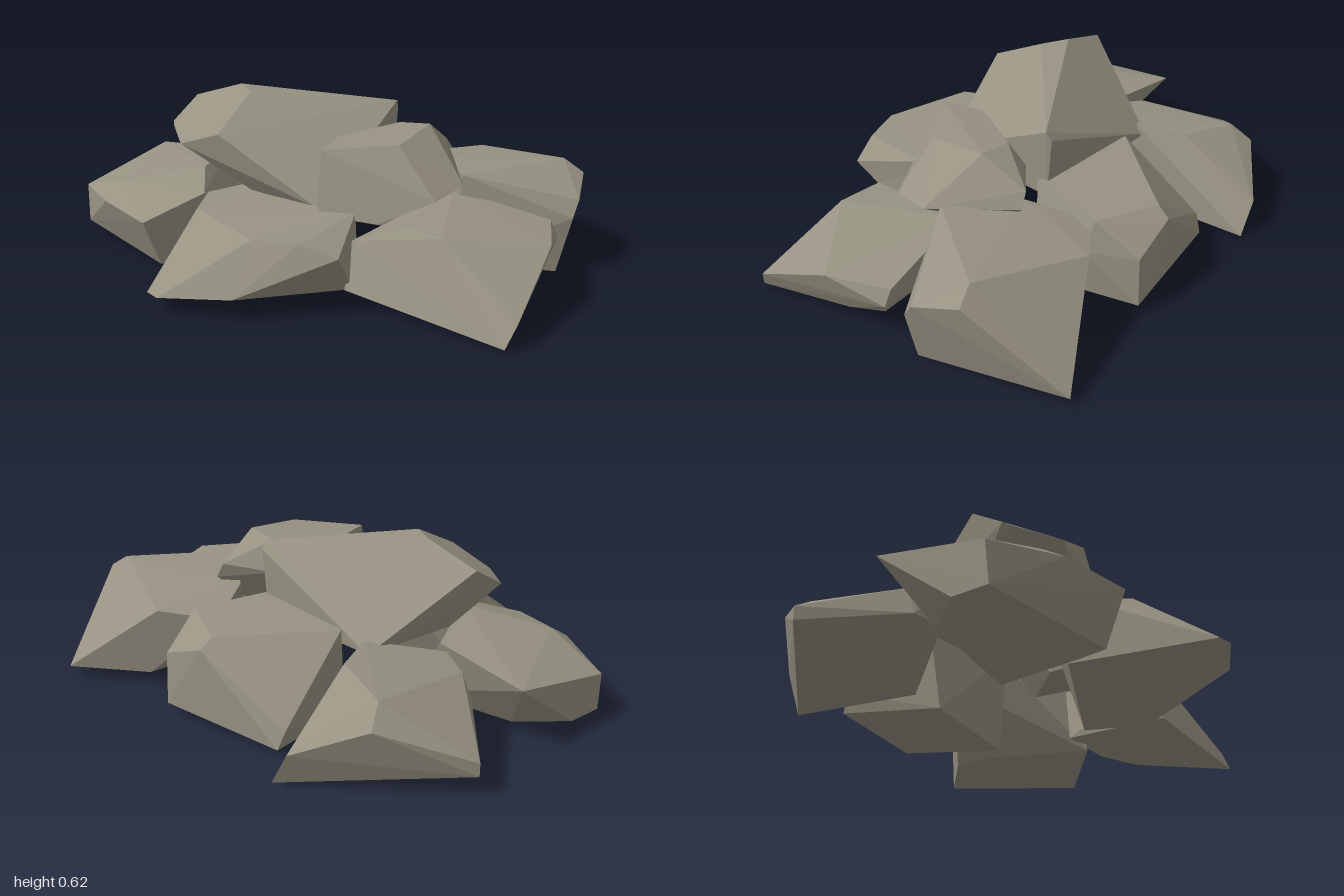
import * as THREE from 'three';
import { ConvexGeometry } from 'three/addons/geometries/ConvexGeometry.js';

const stone = new THREE.MeshStandardMaterial({ color: 0x979282, flatShading: true });
stone.name = 'stone';

// A faceted boulder is the convex hull of its corner points.
function boulder(name, corners) {
  const geometry = new ConvexGeometry(corners.map((c) => new THREE.Vector3(...c)));
  const mesh = new THREE.Mesh(geometry, stone);
  mesh.name = name;
  return mesh;
}

export function createModel() {
  const group = new THREE.Group();
  group.name = 'rockPile';

  // Ring of six boulders on the ground
  group.add(boulder('backRightRock', [
    [-1, 0.13, -0.22], [-1, 0.08, -0.22], [-0.8, 0.25, -0.5], [-0.75, 0.315, -0.43],
    [-0.52, 0.34, -0.38], [-0.6, 0.14, -0.68], [-0.53, 0.01, -0.69], [-0.41, 0.02, -0.22],
    [-0.43, 0.34, -0.22], [-0.7, 0.26, -0.01], [-0.71, 0.15, 0.03], [-0.58, 0.28, 0.03],
    [-0.58, 0.15, 0.04], [-0.62, 0.02, -0.18],
  ]));
  group.add(boulder('backMiddleRock', [
    [-0.42, 0.1, -0.55], [-0.41, 0.03, -0.58], [-0.09, 0.31, -0.67], [0.09, 0.24, -0.7],
    [0.09, 0.04, -0.71], [0.15, 0.35, -0.54], [0.18, 0.22, -0.52], [-0.09, 0.345, -0.62],
    [-0.33, 0.35, -0.24], [0.1, 0.35, -0.2], [-0.3, 0, -0.2], [0.22, 0.01, -0.32],
  ]));
  group.add(boulder('backLeftRock', [
    [0.5, 0.37, -0.13], [0.7, 0.38, -0.52], [0.77, 0.33, -0.55], [0.84, 0.28, -0.39],
    [0.84, 0.22, -0.35], [0.58, 0.04, -0.86], [0.27, 0.32, -0.63], [0.34, 0.04, -0.64],
    [0.1, 0.3, -0.47], [0.34, 0.04, -0.46], [0.24, 0.35, -0.28], [0.5, 0.04, -0.08],
    [0.79, 0, -0.34],
  ]));
  group.add(boulder('leftRock', [
    [0.93, 0.24, -0.03], [1, 0.09, 0.29], [0.98, 0.01, 0.33], [0.67, 0.28, 0.24],
    [0.5, 0.28, 0.24], [0.35, 0.04, 0.36], [0.33, 0.2, 0.3], [0.81, 0.24, -0.24],
    [0.84, 0.18, -0.24], [0.82, 0.13, -0.21], [0.45, 0.3, -0.15], [0.4, 0.07, -0.1],
    [0.86, 0.07, -0.05],
  ]));
  group.add(boulder('frontRock', [
    [-0.18, 0.27, 0.55], [0.16, 0.26, 0.62], [0.31, 0.26, 0.55], [-0.13, 0.06, 0.84],
    [-0.07, 0.06, 0.85], [0.17, 0.08, 0.73], [0.43, 0.22, 0.49], [0.34, 0.02, 0.3],
    [0.2, 0, 0.1], [-0.28, 0.27, 0.4], [-0.3, 0.03, 0.36], [-0.2, 0.28, 0.2],
    [0.3, 0.28, 0.24],
  ]));
  group.add(boulder('frontRightRock', [
    [-0.92, 0.26, 0.05], [-0.91, 0.18, 0.48], [-0.65, 0.26, 0.5], [-0.65, 0.2, 0.595],
    [-0.38, 0.19, 0.64], [-0.38, 0, 0.56], [-0.9, 0.03, 0.49], [-0.9, 0.03, 0.35],
    [-0.77, 0.03, 0.18], [-0.4, 0.32, 0.3], [-0.28, 0.27, 0.42], [-0.31, 0.03, 0.42],
    [-0.55, 0.3, 0.03], [-0.34, 0, 0.11],
  ]));

  // Two boulders resting on the ring
  group.add(boulder('largeTopRock', [
    [-0.58, 0.55, 0.16], [-0.58, 0.47, 0.29], [-0.56, 0.46, 0.31], [-0.4, 0.44, 0.42],
    [-0.23, 0.5, 0.39], [-0.37, 0.62, 0.12], [-0.27, 0.615, 0.17], [0.11, 0.56, -0.25],
    [0.1, 0.53, -0.27], [-0.46, 0.3, -0.23], [0.15, 0.27, 0.27], [-0.15, 0.28, 0.3],
    [-0.5, 0.32, 0.12], [0.1, 0.28, -0.25],
  ]));
  group.add(boulder('smallTopRock', [
    [0.16, 0.49, 0.26], [0.18, 0.27, 0.31], [0.36, 0.5, 0.07], [0.33, 0.525, -0.16],
    [0.2, 0.51, -0.15], [0.28, 0.43, -0.33], [0.31, 0.37, -0.34], [0.54, 0.35, -0.08],
    [0.53, 0.33, 0.08], [0.38, 0.25, 0.22], [0.1, 0.49, 0.1], [0.14, 0.4, -0.18],
    [0.12, 0.24, 0], [0.3, 0.24, -0.2],
  ]));

  return group;
}
